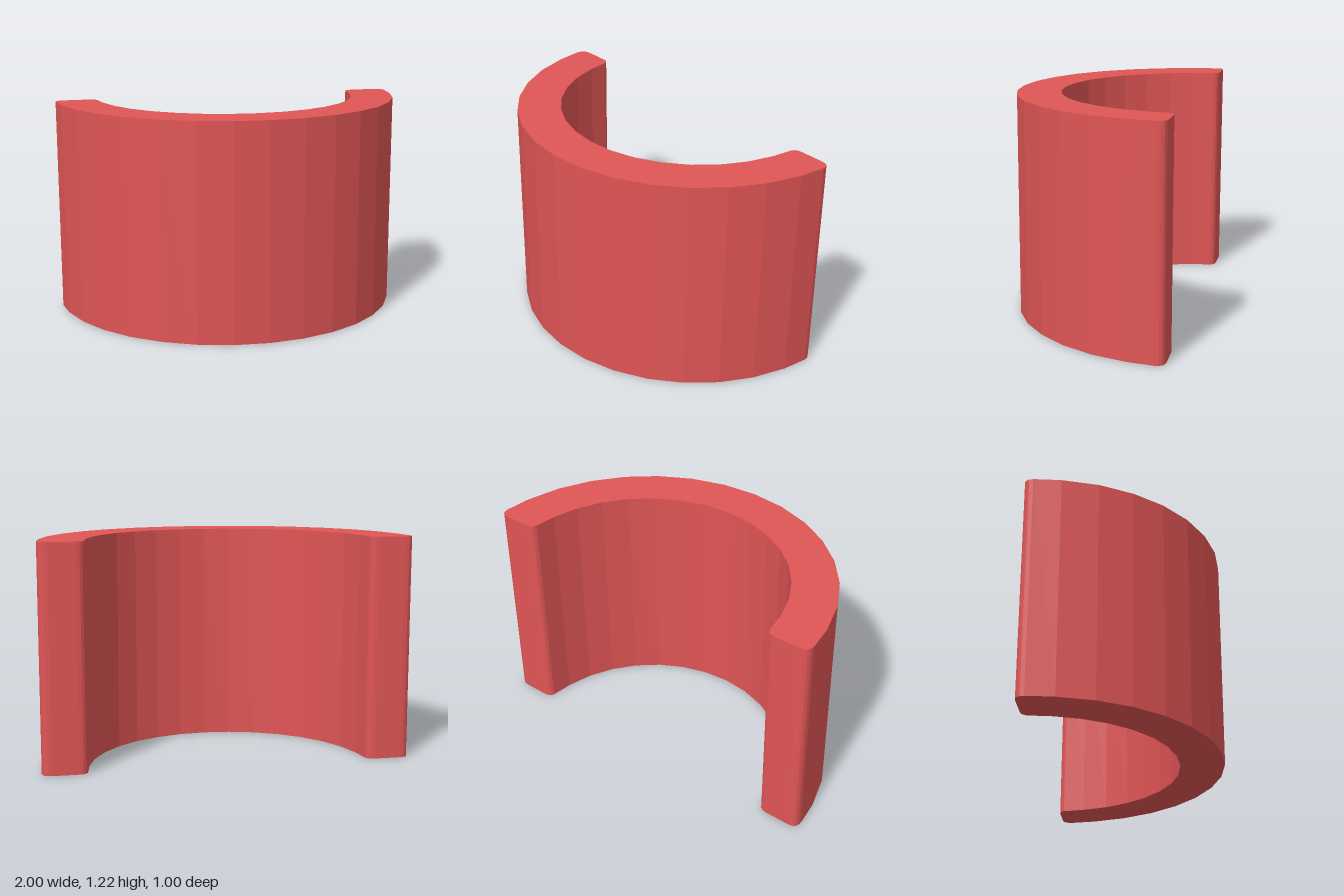
import * as THREE from 'three';

const HEIGHT = 1.215, OUTER = 1, INNER = 0.757, END = 0.5, ROUND = 0.05;
const STEP = Math.PI / 16;

// Plan of the half ring, with the rounded ends at y = END
function ringShape() {
  const shape = new THREE.Shape();
  const arcPoint = (radius, i) => [radius * Math.sin(i * STEP), END - radius * Math.cos(i * STEP)];
  shape.moveTo(...arcPoint(OUTER, -7));
  for (let i = -6; i <= 7; i++) shape.lineTo(...arcPoint(OUTER, i));
  // left end
  shape.lineTo(OUTER, END - ROUND);
  shape.quadraticCurveTo(OUTER, END, OUTER - ROUND, END);
  shape.lineTo(INNER + ROUND, END);
  shape.quadraticCurveTo(INNER, END, INNER, END - ROUND);
  // inside of the ring
  for (let i = 7; i >= -7; i--) shape.lineTo(...arcPoint(INNER, i));
  // right end
  shape.lineTo(-INNER, END - ROUND);
  shape.quadraticCurveTo(-INNER, END, -INNER - ROUND, END);
  shape.lineTo(-OUTER + ROUND, END);
  shape.quadraticCurveTo(-OUTER, END, -OUTER, END - ROUND);
  shape.closePath();
  return shape;
}

export function createModel() {
  const group = new THREE.Group();
  group.name = 'halfRing';

  // Curved wall, extruded upwards
  const geometry = new THREE.ExtrudeGeometry(ringShape(), {
    depth: HEIGHT, bevelEnabled: false, curveSegments: 4,
  });
  geometry.rotateX(-Math.PI / 2);
  const material = new THREE.MeshStandardMaterial({ color: 0xe05555, flatShading: true });
  const wall = new THREE.Mesh(geometry, material);
  wall.name = 'curvedWall';
  group.add(wall);
  return group;
}
